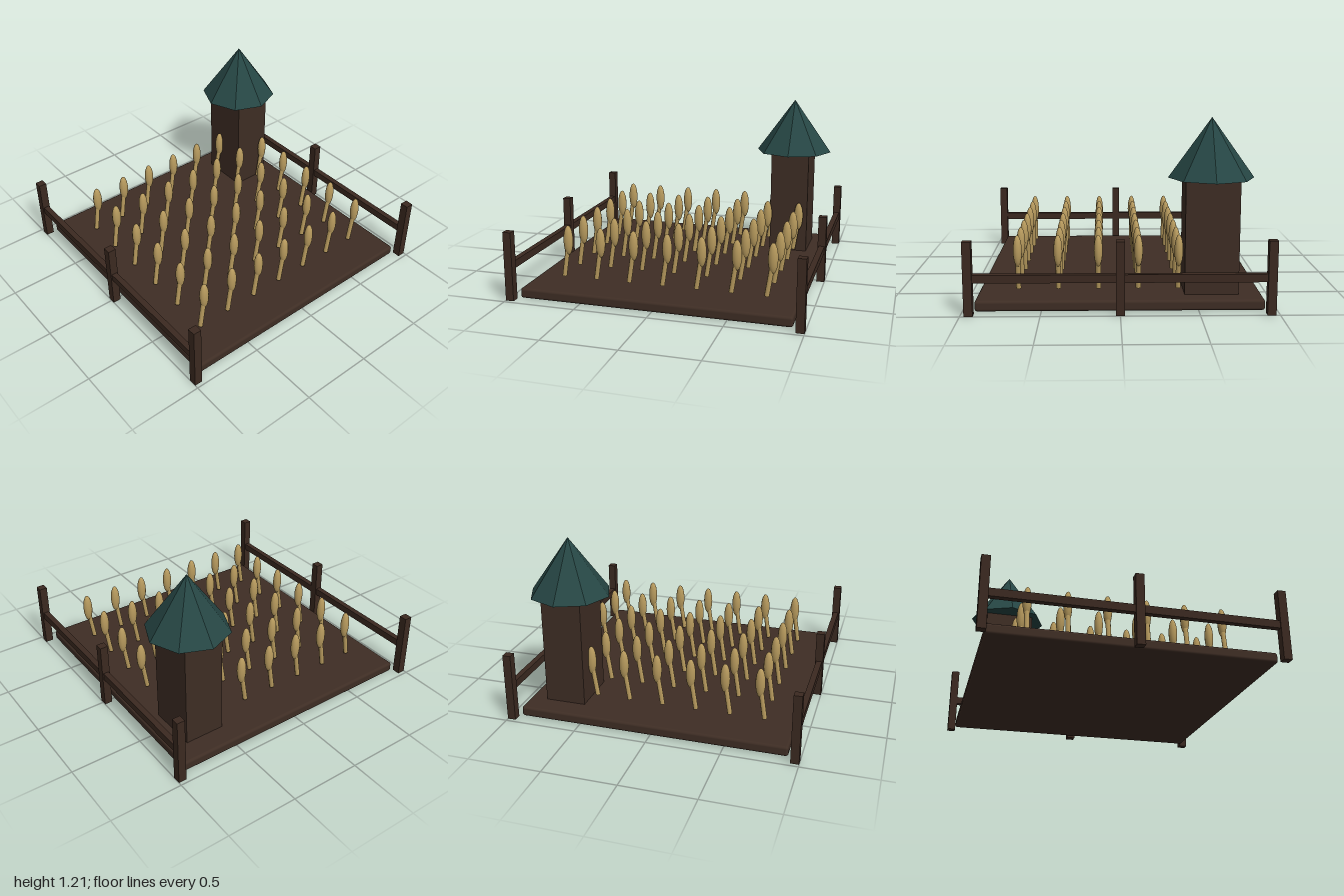
import * as THREE from 'three';
import { RoundedBoxGeometry } from 'three/addons/geometries/RoundedBoxGeometry.js';

function material(name, color, flatShading = false) {
  const m = new THREE.MeshStandardMaterial({ color, flatShading });
  m.name = name;
  return m;
}

export function createModel() {
  const soil = material('soil brown', 0x3e2d24);
  const wood = material('dark wood', 0x3b2920);
  const teal = material('roof teal', 0x264644, true);
  const straw = material('straw', 0xb89b5e);

  const model = new THREE.Group();
  model.name = 'wheatField';

  function add(parent, name, geometry, mat, x, y, z) {
    const mesh = new THREE.Mesh(geometry, mat);
    mesh.name = name;
    mesh.position.set(x, y, z);
    parent.add(mesh);
    return mesh;
  }

  // Field slab with softened edges
  add(model, 'fieldBase', new RoundedBoxGeometry(1.84, 0.07, 1.84, 3, 0.018), soil, 0, 0.04, 0);

  // Fences along both sides: three posts and one rail each
  const postGeo = new THREE.BoxGeometry(0.056, 0.475, 0.056);
  const railGeo = new THREE.BoxGeometry(0.04, 0.052, 1.88);
  for (const side of [-1, 1]) {
    const fence = new THREE.Group();
    fence.name = side > 0 ? 'leftFence' : 'rightFence';
    for (const z of [-0.947, 0, 0.947]) add(fence, 'fencePost', postGeo, wood, side * 0.972, 0.2375, z);
    add(fence, 'fenceRail', railGeo, wood, side * 0.972, 0.238, 0);
    model.add(fence);
  }

  // Tower with an eight-sided pointed roof
  const tower = new THREE.Group();
  tower.name = 'tower';
  tower.position.set(0.66, 0, -0.593);
  add(tower, 'towerWalls', new THREE.BoxGeometry(0.28, 0.755, 0.35), soil, 0, 0.4475, 0);
  add(tower, 'towerRoof', new THREE.ConeGeometry(0.28, 0.39, 8), teal, 0, 1.015, 0);
  model.add(tower);

  // Rows of wheat: leaning stem and upright ear
  const stemGeo = new THREE.CylinderGeometry(0.017, 0.017, 0.21, 8);
  const earGeo = new THREE.SphereGeometry(1, 12, 10).scale(0.034, 0.105, 0.029);
  for (let row = 0; row < 6; row++) {
    for (let col = 0; col < 7; col++) {
      const stalk = new THREE.Group();
      stalk.name = 'wheatStalk';
      stalk.position.set(-0.676 + col * 0.2363, 0, 0.66 - row * 0.2607);
      add(stalk, 'stem', stemGeo, straw, -0.02, 0.202, 0).rotation.z = -0.15;
      add(stalk, 'ear', earGeo, straw, 0, 0.355, 0);
      model.add(stalk);
    }
  }

  return model;
}
